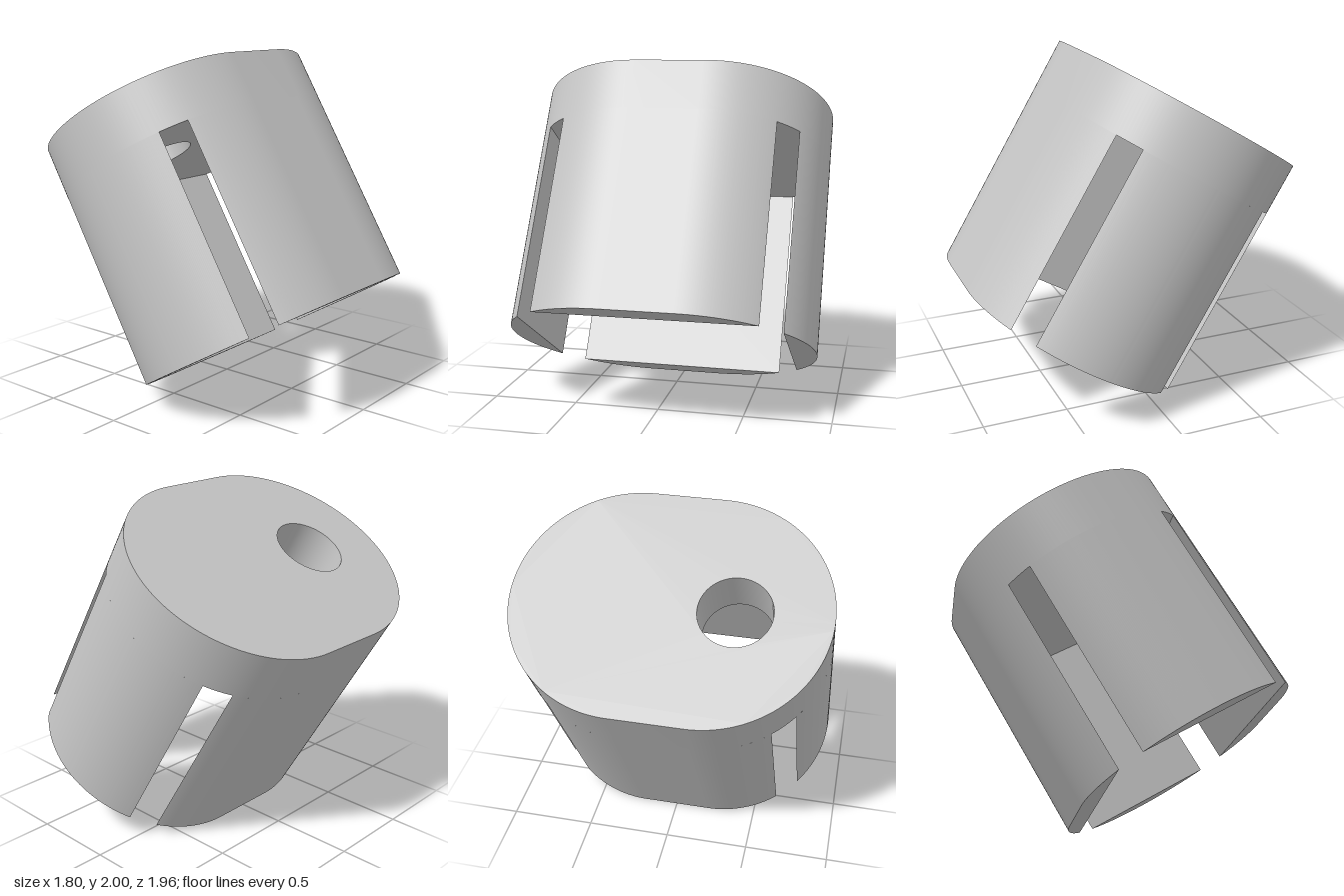
import * as THREE from 'three';
import { toCreasedNormals } from 'three/addons/utils/BufferGeometryUtils.js';

const R = 0.694;            // end radius of the stadium outline
const C = 0.206;            // offset of the end centres along x
const H = 1.496;            // full height
const CAP = 0.31;           // thickness of the closed end
const IN_X = 0.75;          // half width of the rectangular hollow
const IN_Z = 0.548;         // half depth of the rectangular hollow

export function createModel() {
  const grey = new THREE.MeshStandardMaterial({ color: 0xc4c4c4 });
  grey.name = 'light grey';

  const body = new THREE.Group();
  body.name = 'slottedBody';

  // Extrudes an outline upward along y from the given height
  function addPart(name, shape, y, height, turn = 0) {
    const geo = new THREE.ExtrudeGeometry(shape, { depth: height, bevelEnabled: false, curveSegments: 48 });
    geo.rotateX(-Math.PI / 2);
    const mesh = new THREE.Mesh(toCreasedNormals(geo, 0.5), grey);
    mesh.name = name;
    mesh.position.y = y;
    mesh.rotation.y = turn;
    body.add(mesh);
  }

  // Closed end: stadium plate with an off-centre through hole
  const cap = new THREE.Shape();
  cap.absarc(C, 0, R, -Math.PI / 2, Math.PI / 2, false);
  cap.absarc(-C, 0, R, Math.PI / 2, Math.PI * 1.5, false);
  cap.closePath();
  const hole = new THREE.Path();
  hole.absarc(-0.365, 0, 0.208, 0, Math.PI * 2, false);
  cap.holes.push(hole);
  addPart('cap', cap, H / 2 - CAP, CAP);

  // Broad walls: the hollow breaks through the rounded corners and leaves slots
  const a = Math.asin(IN_Z / R);
  const broad = new THREE.Shape();
  broad.absarc(C, 0, R, a, Math.PI / 2, false);
  broad.absarc(-C, 0, R, Math.PI / 2, Math.PI - a, false);
  broad.closePath();
  addPart('backWall', broad, -H / 2, H - CAP);
  addPart('frontWall', broad, -H / 2, H - CAP, Math.PI);

  // Side walls
  const b = Math.acos((IN_X - C) / R);
  const side = new THREE.Shape();
  side.absarc(C, 0, R, -b, b, false);
  side.closePath();
  addPart('leftWall', side, -H / 2, H - CAP);
  addPart('rightWall', side, -H / 2, H - CAP, Math.PI);

  // The whole body leans backward
  body.rotation.x = THREE.MathUtils.degToRad(-31);
  body.position.y = 1;

  const model = new THREE.Group();
  model.name = 'slottedCap';
  model.add(body);
  return model;
}
